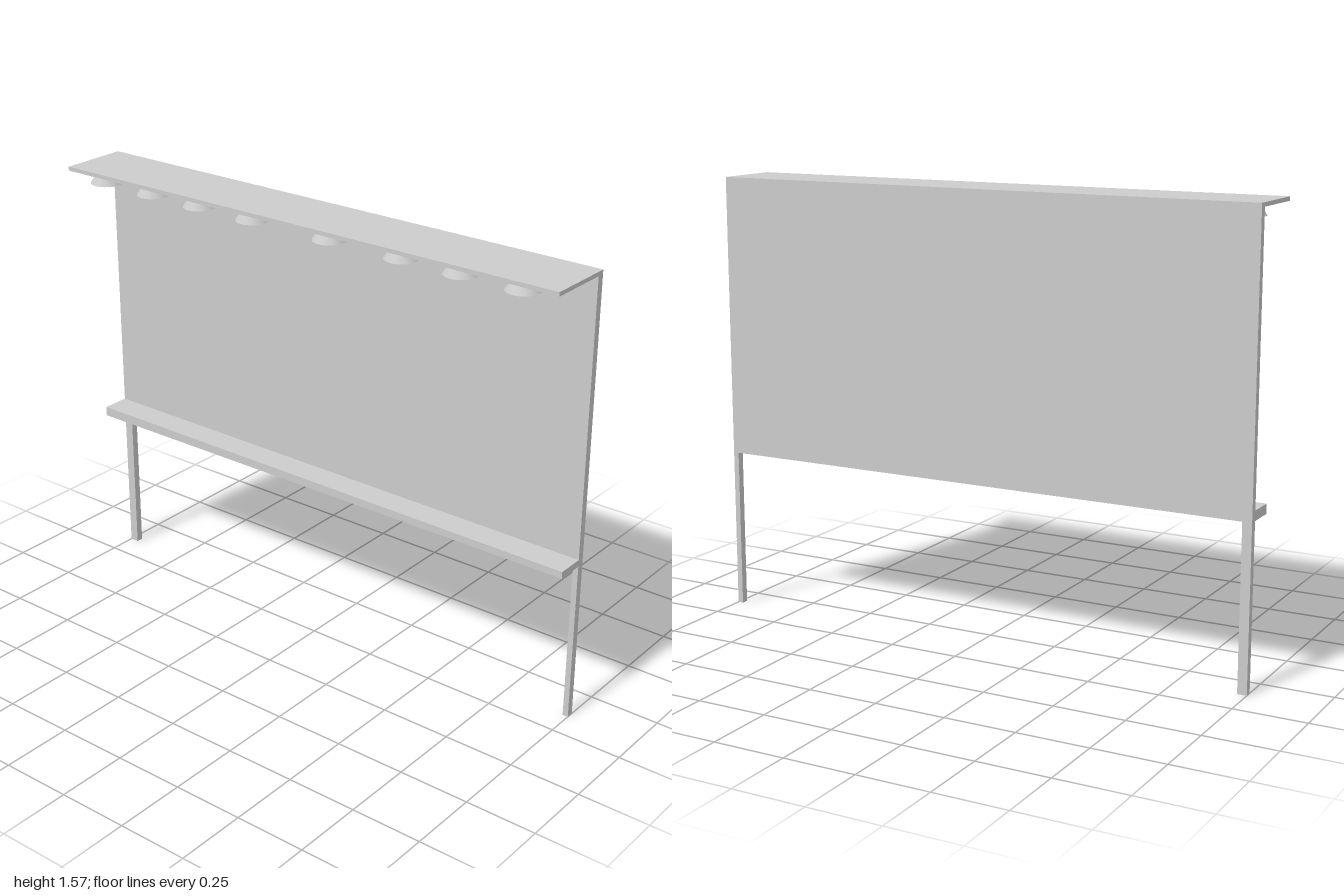
import * as THREE from 'three';

const material = new THREE.MeshStandardMaterial({ color: 0xcccccc, flatShading: true });
const smooth = new THREE.MeshStandardMaterial({ color: 0xcccccc });

// Box given by its lower and upper corners
function box(name, [x0, y0, z0], [x1, y1, z1]) {
  const geometry = new THREE.BoxGeometry(x1 - x0, y1 - y0, z1 - z0);
  geometry.translate((x0 + x1) / 2, (y0 + y1) / 2, (z0 + z1) / 2);
  const mesh = new THREE.Mesh(geometry, material);
  mesh.name = name;
  return mesh;
}

export function createModel() {
  const group = new THREE.Group();
  group.name = 'billboard';
  const back = -0.122, face = -0.097;

  // Display panel and its two legs
  group.add(box('panel', [-1, 0.57, back], [1, 1.553, face]));
  group.add(box('rightLeg', [-1, 0, back], [-0.967, 0.57, face]));
  group.add(box('leftLeg', [0.98, 0, back], [1, 0.57, face]));

  // Roof canopy
  group.add(box('canopy', [-1, 1.553, back], [1, 1.567, 0.124]));

  // Walkway ledge, its top dropping slightly towards +x
  const ledge = new THREE.Shape([
    new THREE.Vector2(-1, 0.57), new THREE.Vector2(1, 0.57),
    new THREE.Vector2(1, 0.594), new THREE.Vector2(-1, 0.604),
  ]);
  const ledgeMesh = new THREE.Mesh(
    new THREE.ExtrudeGeometry(ledge, { depth: 0.1, bevelEnabled: false }), material);
  ledgeMesh.position.z = face;
  ledgeMesh.name = 'ledge';
  group.add(ledgeMesh);

  // Lamps hanging under the canopy
  const lamps = new THREE.Group();
  lamps.name = 'lamps';
  const lampGeometry = new THREE.CylinderGeometry(0.03, 0.057, 0.043, 32);
  for (const x of [-0.897, -0.675, -0.461, -0.229, 0.094, 0.379, 0.603, 0.827]) {
    const lamp = new THREE.Mesh(lampGeometry, smooth);
    lamp.name = 'lamp';
    lamp.position.set(x, 1.5315, 0.042);
    lamps.add(lamp);
  }
  group.add(lamps);
  return group;
}
